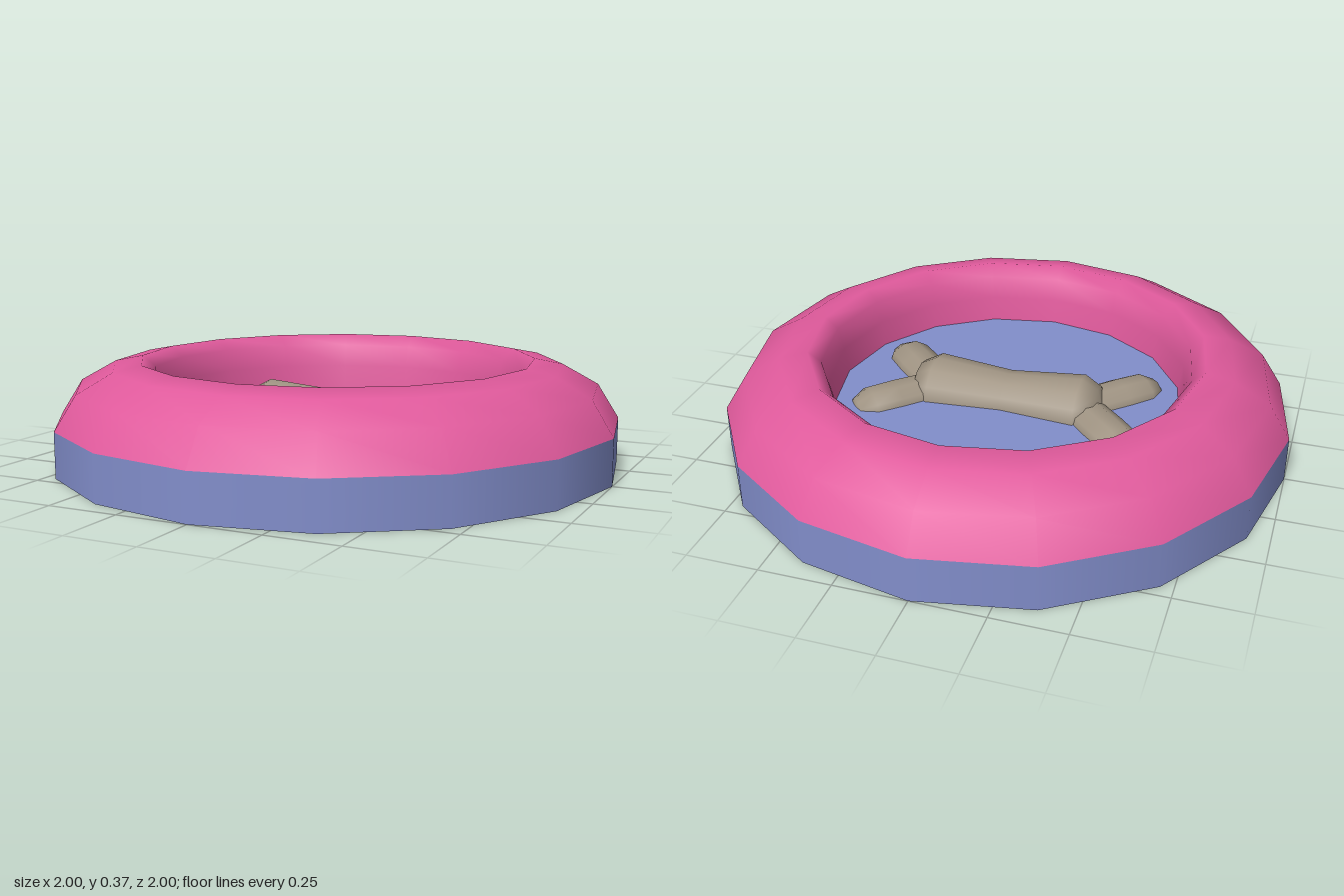
import * as THREE from 'three';

const material = (name, color) => {
  const m = new THREE.MeshStandardMaterial({ color });
  m.name = name;
  return m;
};

// Surface of revolution about y from [radius, height] pairs
const lathe = (pairs, sides) =>
  new THREE.LatheGeometry(pairs.map(([r, y]) => new THREE.Vector2(r, y)), sides);

export function createModel() {
  const blue = material('blue fabric', 0x828ecb);
  const pink = material('pink cushion', 0xe05a9c);
  const tan = material('bone tan', 0xa09483);
  const model = new THREE.Group();
  model.name = 'petBed';

  const add = (parent, name, geometry, mat) => {
    const mesh = new THREE.Mesh(geometry, mat);
    mesh.name = name;
    parent.add(mesh);
    return mesh;
  };

  // Base disc, its top is the floor of the bed
  add(model, 'base', new THREE.CylinderGeometry(1, 1, 0.16, 16), blue).position.y = 0.08;

  // Padded rim, from the outer edge over the top to the inner wall
  add(model, 'cushionRim', lathe([
    [1, 0.16], [0.925, 0.28], [0.8, 0.35], [0.7, 0.37], [0.655, 0.33], [0.635, 0.25], [0.62, 0.16],
  ], 16), pink);

  // Bone lying on the floor, partly sunk in
  const bone = new THREE.Group();
  bone.name = 'bone';
  model.add(bone);

  const shaft = lathe([
    [0, -0.36], [0.1, -0.33], [0.135, -0.27], [0.11, 0], [0.135, 0.27], [0.1, 0.33], [0, 0.36],
  ], 12).rotateZ(-Math.PI / 2).scale(1, 0.9, 1);
  add(bone, 'boneShaft', shaft, tan).position.y = 0.15;

  // Four knobs pointing out diagonally
  const knob = lathe([
    [0.085, 0.22], [0.088, 0.36], [0.085, 0.455], [0.05, 0.51], [0, 0.52],
  ], 10).rotateZ(-Math.PI / 2).scale(1, 0.85, 1);
  for (const sx of [-1, 1]) {
    for (const sz of [-1, 1]) {
      const mesh = add(bone, 'boneKnob', knob, tan);
      mesh.position.set(sx * 0.13, 0.14, -sz * 0.13);
      mesh.rotation.y = Math.atan2(-sz, sx);
    }
  }
  return model;
}
